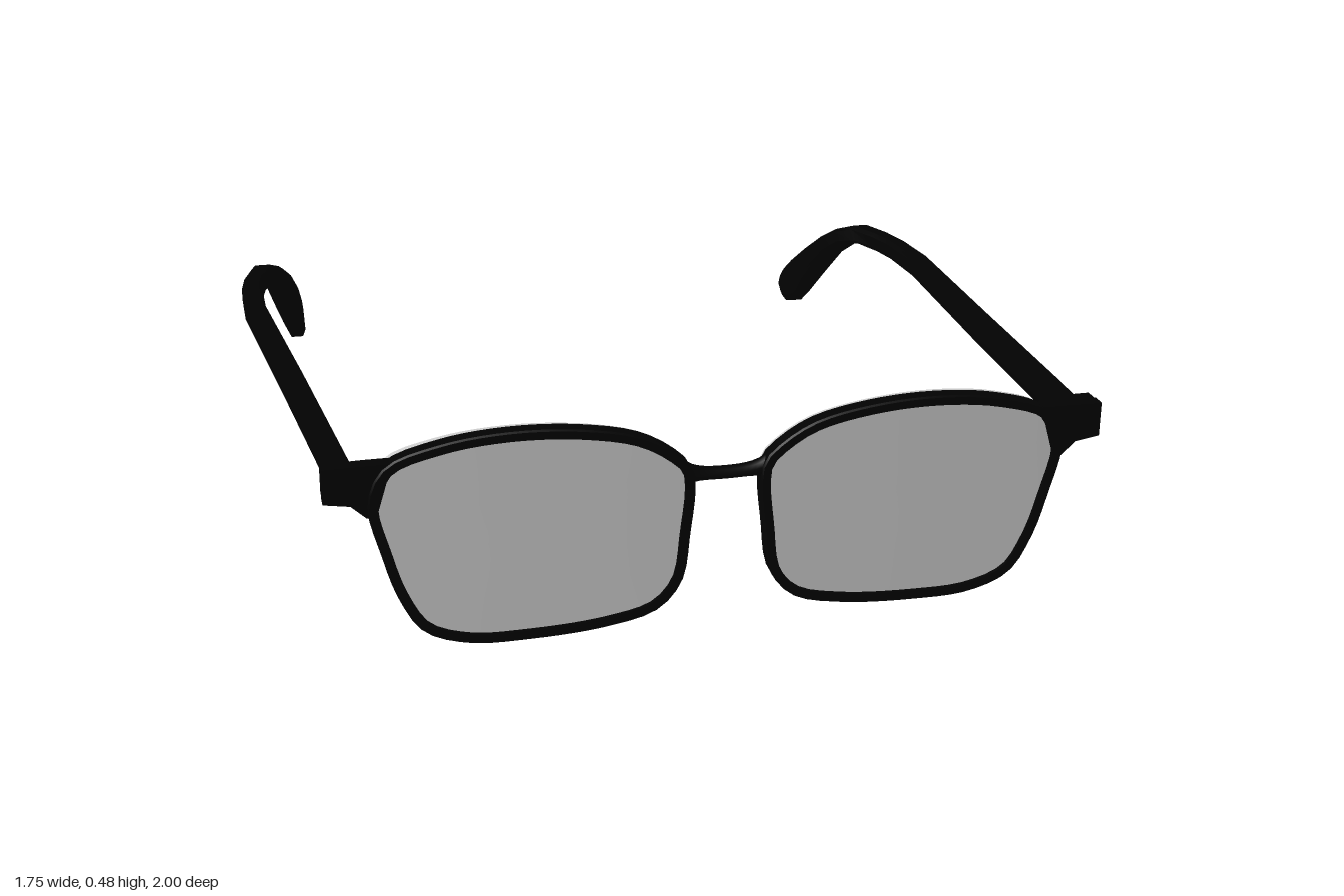
import * as THREE from 'three';
import { toCreasedNormals } from 'three/addons/utils/BufferGeometryUtils.js';

const V = (x, y, z = 0) => new THREE.Vector3(x, y, z);
const black = new THREE.MeshStandardMaterial({ color: 0x020202 });
const grey = new THREE.MeshStandardMaterial({ color: 0xcccccc });

// Skin between rings of equal point count; s = -1 mirrors it to the other side
function loft(rings, s = 1, crease = 0.6) {
  const n = rings[0].length, pos = [], idx = [];
  for (const ring of rings) {
    const r = s < 0 ? [...ring].reverse() : ring;
    for (const p of r) pos.push(s * p.x, p.y, p.z);
  }
  for (let i = 0; i < rings.length - 1; i++) {
    for (let j = 0; j < n; j++) {
      const k = (j + 1) % n;
      const a = i * n + j, b = i * n + k, c = a + n, d = b + n;
      idx.push(a, c, b, b, c, d);
    }
  }
  const g = new THREE.BufferGeometry();
  g.setAttribute('position', new THREE.Float32BufferAttribute(pos, 3));
  g.setIndex(idx);
  return toCreasedNormals(g, crease);
}

// Outer edge of one rim, counterclockwise from the front
const outline = new THREE.CatmullRomCurve3([
  [0.066, 0.33], [0.075, 0.234], [0.092, 0.126], [0.14, 0.07], [0.24, 0.043],
  [0.40, 0.031], [0.52, 0.035], [0.605, 0.068], [0.65, 0.14], [0.68, 0.234],
  [0.703, 0.35], [0.67, 0.42], [0.567, 0.459], [0.43, 0.476], [0.285, 0.469],
  [0.17, 0.443], [0.10, 0.40], [0.073, 0.37],
].map(([x, y]) => V(x, y)), true).getSpacedPoints(64).slice(0, 64);

const inset = (d) => outline.map((p, i) => {
  const a = outline[(i + 63) % 64], b = outline[(i + 1) % 64];
  const t = b.clone().sub(a).normalize();
  return V(p.x - t.y * d, p.y + t.x * d);
});
// Place a ring at depth z, swept back towards the temples
const bend = (ring, z, k = 0.014) => ring.map((p) => V(p.x, p.y, z - k * (p.x / 0.7) ** 2));
const scaleRing = (ring, f) => ring.map((p) => V(0.385 + (p.x - 0.385) * f, 0.26 + (p.y - 0.26) * f));

function rimGeometry(s) {
  const o = inset(0), oi = inset(0.003), i = inset(0.02);
  return loft([bend(oi, 0.998), bend(o, 0.994), bend(o, 0.966), bend(i, 0.964),
    bend(i, 0.996), bend(oi, 0.998)], s);
}

function lensGeometry(s) {
  const edge = inset(0.005), steps = [0, 0.35, 0.7, 1];
  return loft([
    ...steps.map((f) => bend(scaleRing(edge, f), 0.988)),
    ...steps.reverse().map((f) => bend(scaleRing(edge, f), 0.951, 0.026)),
  ], s, 0.5);
}

// Temple stations: [x, half width, top z, top y, bottom z, bottom y]
const stations = [
  [0.745, 0.023, 0.94, 0.415, 0.94, 0.35],
  [0.799, 0.024, 0.3, 0.376, 0.3, 0.315],
  [0.849, 0.025, -0.25, 0.341, -0.25, 0.289],
  [0.849, 0.025, -0.42, 0.329, -0.42, 0.281],
  [0.838, 0.026, -0.52, 0.322, -0.5, 0.278],
  [0.813, 0.028, -0.62, 0.315, -0.575, 0.277],
  [0.788, 0.031, -0.69, 0.286, -0.635, 0.26],
  [0.768, 0.033, -0.75, 0.248, -0.695, 0.217],
  [0.747, 0.033, -0.83, 0.189, -0.77, 0.137],
  [0.729, 0.028, -0.915, 0.126, -0.845, 0.054],
  [0.72, 0.024, -0.965, 0.085, -0.885, 0.014],
  [0.717, 0.022, -0.992, 0.057, -0.93, 0.0],
  [0.716, 0.018, -1.0, 0.036, -0.96, 0.008],
];

function templeGeometry(s) {
  const corner = [[1, -0.6], [1, 0.6], [0.65, 1], [-0.65, 1], [-1, 0.6], [-1, -0.6], [-0.65, -1], [0.65, -1]];
  const rings = stations.map(([x, w, tz, ty, bz, by]) => corner.map(([u, v]) => {
    const t = (v + 1) / 2;
    return V(x + u * w, by + (ty - by) * t, bz + (tz - bz) * t);
  }));
  const cap = (r) => {
    const c = r.reduce((m, p) => m.add(p), V(0, 0, 0)).divideScalar(r.length);
    return r.map(() => c);
  };
  return loft([cap(rings[0]), ...rings, cap(rings[rings.length - 1])], s, 0.7);
}

// Flared corner of the front frame, thinning towards the lens
function endPieceGeometry(s) {
  const pts = [[0.64, 0.428], [0.665, 0.39], [0.686, 0.32], [0.705, 0.318], [0.735, 0.345], [0.787, 0.352],
    [0.787, 0.424], [0.70, 0.427]].map(([x, y]) => V(x, y));
  const mid = pts.map(() => V(0.73, 0.38));
  return loft([bend(mid, 0.995), bend(pts, 0.995, 0.017), bend(pts, 0.962), bend(mid, 0.962)], s);
}

// Bridge swept from one rim to the other, thicker at both ends
function bridgeGeometry() {
  const rings = [];
  for (let i = 0; i <= 12; i++) {
    const u = 1 - i / 6, h = 0.012 + 0.014 * u ** 4, y = 0.348 + 0.006 * u * u;
    const ring = [];
    for (let j = 0; j < 10; j++) {
      const a = (-j / 10) * Math.PI * 2;
      ring.push(V(u * 0.083, y + Math.cos(a) * h, 0.977 + Math.sin(a) * 0.018));
    }
    rings.push(ring);
  }
  return loft(rings, 1, 1);
}

export function createModel() {
  const model = new THREE.Group();
  model.name = 'eyeglasses';
  const add = (name, geometry, material = black) => {
    const mesh = new THREE.Mesh(geometry, material);
    mesh.name = name;
    model.add(mesh);
    return mesh;
  };
  for (const [side, s] of [['left', 1], ['right', -1]]) {
    add(side + 'Rim', rimGeometry(s));
    add(side + 'Lens', lensGeometry(s), grey);
    add(side + 'EndPiece', endPieceGeometry(s));
    add(side + 'Hinge', new THREE.BoxGeometry(0.05, 0.07, 0.058)).position.set(s * 0.761, 0.387, 0.941);
    add(side + 'Temple', templeGeometry(s));
  }
  // Double sided because both ends of the sweep are open inside the rims
  add('bridge', bridgeGeometry(), new THREE.MeshStandardMaterial({ color: 0x020202, side: THREE.DoubleSide }));
  return model;
}
